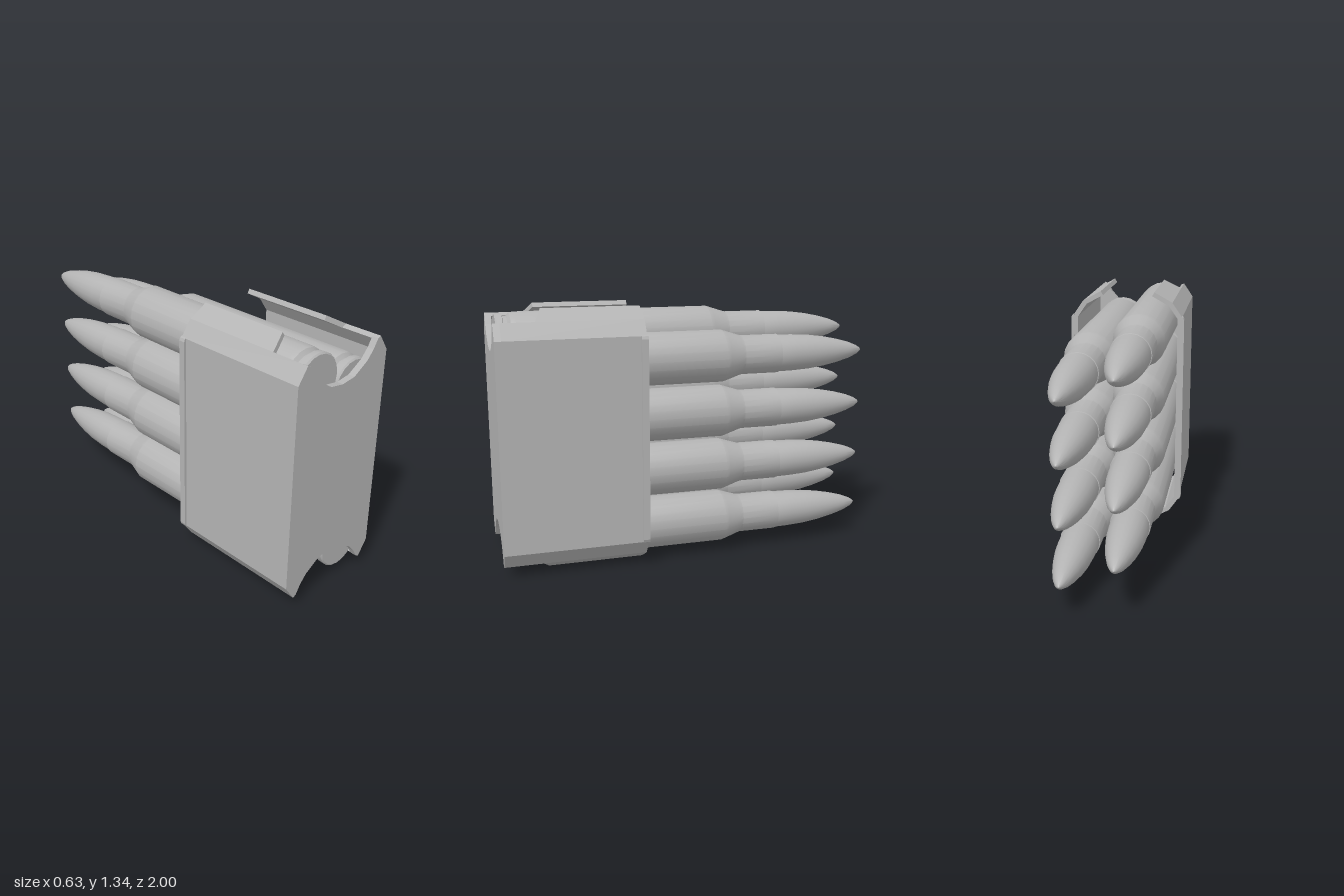
import * as THREE from 'three';
import { toCreasedNormals } from 'three/addons/utils/BufferGeometryUtils.js';

const MID = 0.675; // mid height of the clip
const steel = new THREE.MeshStandardMaterial({ color: 0xb4b4b4 });
steel.name = 'grey metal';

const v2 = ([x, y]) => new THREE.Vector2(x, y);

function part(name, geometry) {
  const mesh = new THREE.Mesh(geometry, steel);
  mesh.name = name;
  return mesh;
}

// Extrude a polygon along +z between two depths
function slab(points, z0, z1) {
  const g = new THREE.ExtrudeGeometry(new THREE.Shape(points.map(v2)), { depth: z1 - z0, bevelEnabled: false });
  return g.translate(0, 0, z0);
}

// Lathe whose axis points backward along -z; points are [radius, z]
function turned(points) {
  const g = new THREE.LatheGeometry(points.map(([r, z]) => new THREE.Vector2(r, -z)), 20);
  return toCreasedNormals(g.rotateX(-Math.PI / 2), 0.36);
}

const caseGeometry = turned([
  [0, 0.962], [0.127, 0.962], [0.134, 0.955], [0.134, 0.925], [0.115, 0.92], [0.115, 0.9],
  [0.134, 0.885], [0.138, 0.86], [0.138, -0.18], [0.132, -0.2], [0.108, -0.275], [0.104, -0.29],
  [0.104, -0.495], [0.098, -0.497],
]);
const bulletGeometry = turned([
  [0.1, -0.49], [0.098, -0.58], [0.092, -0.68], [0.08, -0.77], [0.064, -0.85],
  [0.045, -0.92], [0.025, -0.97], [0.01, -0.992], [0, -1],
]);

function cartridge(x, y) {
  const g = new THREE.Group();
  g.name = 'cartridge';
  g.add(part('case', caseGeometry), part('bullet', bulletGeometry));
  g.position.set(x, y, 0);
  return g;
}

// Feed lip: tapered plate leaning in from the edge of the side wall
function lip(sign) {
  const t = 0.025;
  const g = slab([[0.26, 0], [0.8, 0], [0.76, 0.115], [0.26, 0.115]], sign > 0 ? 0 : -t, sign > 0 ? t : 0);
  const along = new THREE.Vector3(-0.1, 0.055 * sign, 0).normalize();
  const zAxis = new THREE.Vector3(0, 0, 1);
  const normal = new THREE.Vector3().crossVectors(zAxis, along);
  const m = new THREE.Matrix4().makeBasis(zAxis, along, normal);
  m.setPosition(0.25, sign * 0.615, 0);
  return part(sign > 0 ? 'upperLip' : 'lowerLip', g.applyMatrix4(m));
}

// One side of the clip, drawn about the mid height
function clipSide(name) {
  const side = new THREE.Group();
  side.name = name;
  const wall = [
    [0.25, -0.615], [0.305, -0.535], [0.305, 0.535], [0.25, 0.615],
    [0.228, 0.6], [0.28, 0.525], [0.28, -0.525], [0.228, -0.6],
  ];
  const bead = [
    [0.3, -0.54], [0.311, -0.535], [0.317, -0.52], [0.317, 0.52], [0.311, 0.535], [0.3, 0.54],
  ];
  side.add(part('wall', slab(wall, 0.26, 0.966)));
  side.add(part('frontBead', slab(bead, 0.255, 0.29)));
  side.add(lip(1), lip(-1));
  return side;
}

// Plate behind the cartridge bases with a scoop at top and bottom
function basePlate() {
  const half = [
    [0.305, 0.535], [0.25, 0.615], [0.232, 0.606], [0.205, 0.56], [0.165, 0.515], [0.08, 0.462], [0, 0.45],
    [-0.08, 0.462], [-0.165, 0.515], [-0.205, 0.56], [-0.232, 0.606], [-0.25, 0.615], [-0.305, 0.535],
  ];
  const outline = [...half, ...half.map(([x, y]) => [-x, -y])];
  return part('basePlate', slab(outline, 0.966, 1));
}

export function createModel() {
  const model = new THREE.Group();
  model.name = 'loadedClip';

  const clip = new THREE.Group();
  clip.name = 'clip';
  clip.position.y = MID;
  const right = clipSide('rightSide');
  right.rotation.z = Math.PI;
  clip.add(clipSide('leftSide'), right, basePlate());
  model.add(clip);

  // Two staggered columns of four cartridges
  for (let i = 0; i < 4; i++) {
    model.add(cartridge(0.128, 0.185 + i * 0.294));
    model.add(cartridge(-0.128, 0.285 + i * 0.294));
  }
  return model;
}
